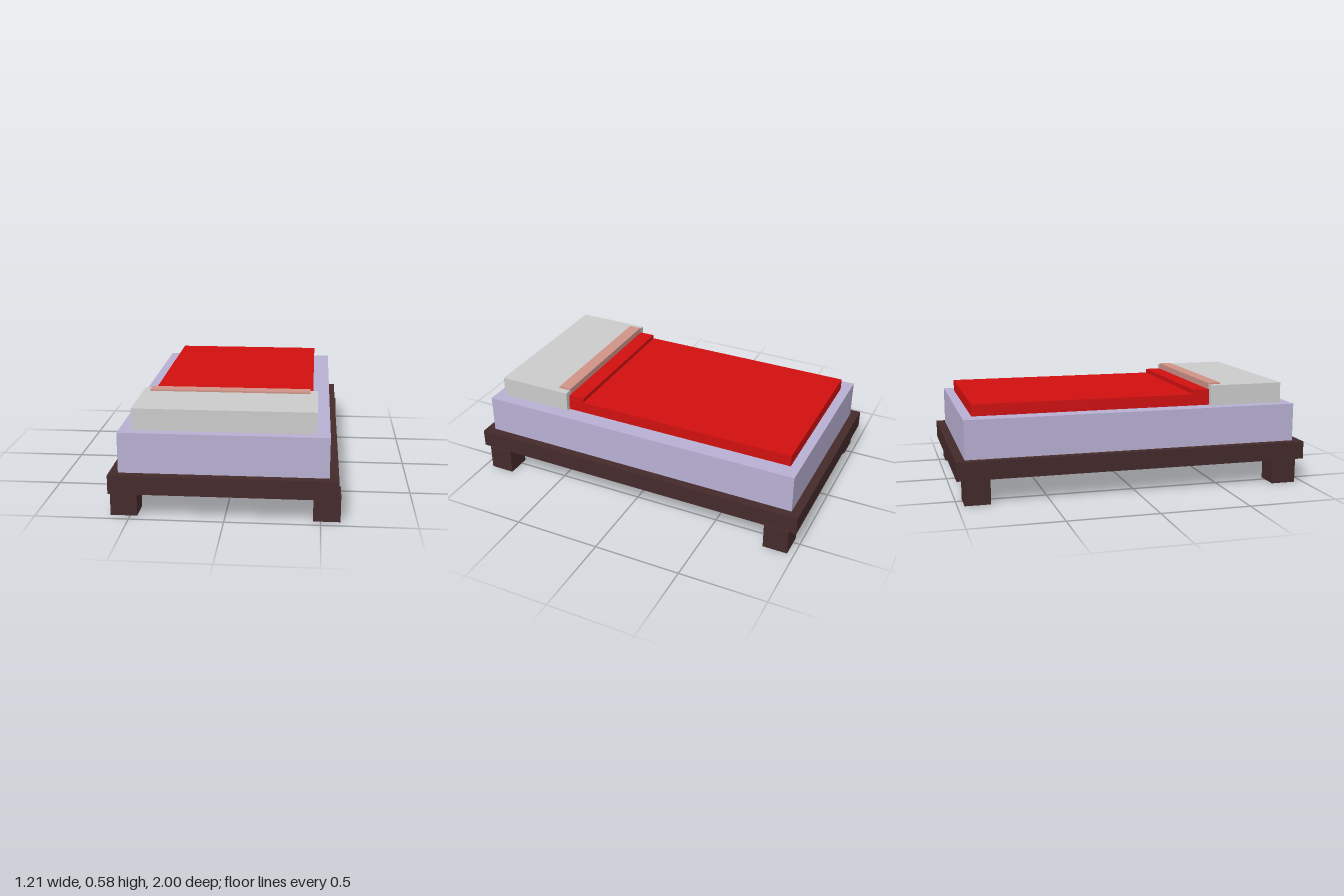
import * as THREE from 'three';

const wood = new THREE.MeshStandardMaterial({ color: 0x442a2b });
const lilac = new THREE.MeshStandardMaterial({ color: 0xb8b0d3 });
const red = new THREE.MeshStandardMaterial({ color: 0xd21010 });
const salmon = new THREE.MeshStandardMaterial({ color: 0xd09488 });
const grey = new THREE.MeshStandardMaterial({ color: 0xcccccc });

// Box given by its extents along each axis
function block(name, material, [x0, x1], [y0, y1], [z0, z1]) {
  const mesh = new THREE.Mesh(new THREE.BoxGeometry(x1 - x0, y1 - y0, z1 - z0), material);
  mesh.position.set((x0 + x1) / 2, (y0 + y1) / 2, (z0 + z1) / 2);
  mesh.name = name;
  return mesh;
}

export function createModel() {
  const bed = new THREE.Group();
  bed.name = 'bed';

  // Four stubby legs, tucked slightly into the frame
  for (const [xName, x] of [['Right', [-0.604, -0.462]], ['Left', [0.461, 0.603]]]) {
    for (const [zName, z] of [['front', [0.81, 0.951]], ['back', [-0.962, -0.821]]]) {
      bed.add(block(`${zName}${xName}Leg`, wood, x, [0, 0.145], z));
    }
  }

  // Platform and mattress
  bed.add(block('frame', wood, [-0.605, 0.59], [0.137, 0.238], [-1, 1]));
  bed.add(block('mattress', lilac, [-0.557, 0.541], [0.237, 0.455], [-0.95, 0.95]));

  // Blanket with its turned-back fold
  bed.add(block('blanket', red, [-0.461, 0.446], [0.454, 0.52], [-0.896, 0.467]));
  bed.add(block('blanketFold', red, [-0.457, 0.441], [0.515, 0.545], [0.371, 0.467]));

  // Pillow and the sheet edge lapping over its back
  bed.add(block('pillow', grey, [-0.489, 0.473], [0.454, 0.571], [0.465, 0.896]));
  bed.add(block('sheetEdge', salmon, [-0.449, 0.431], [0.46, 0.58], [0.462, 0.536]));

  return bed;
}
